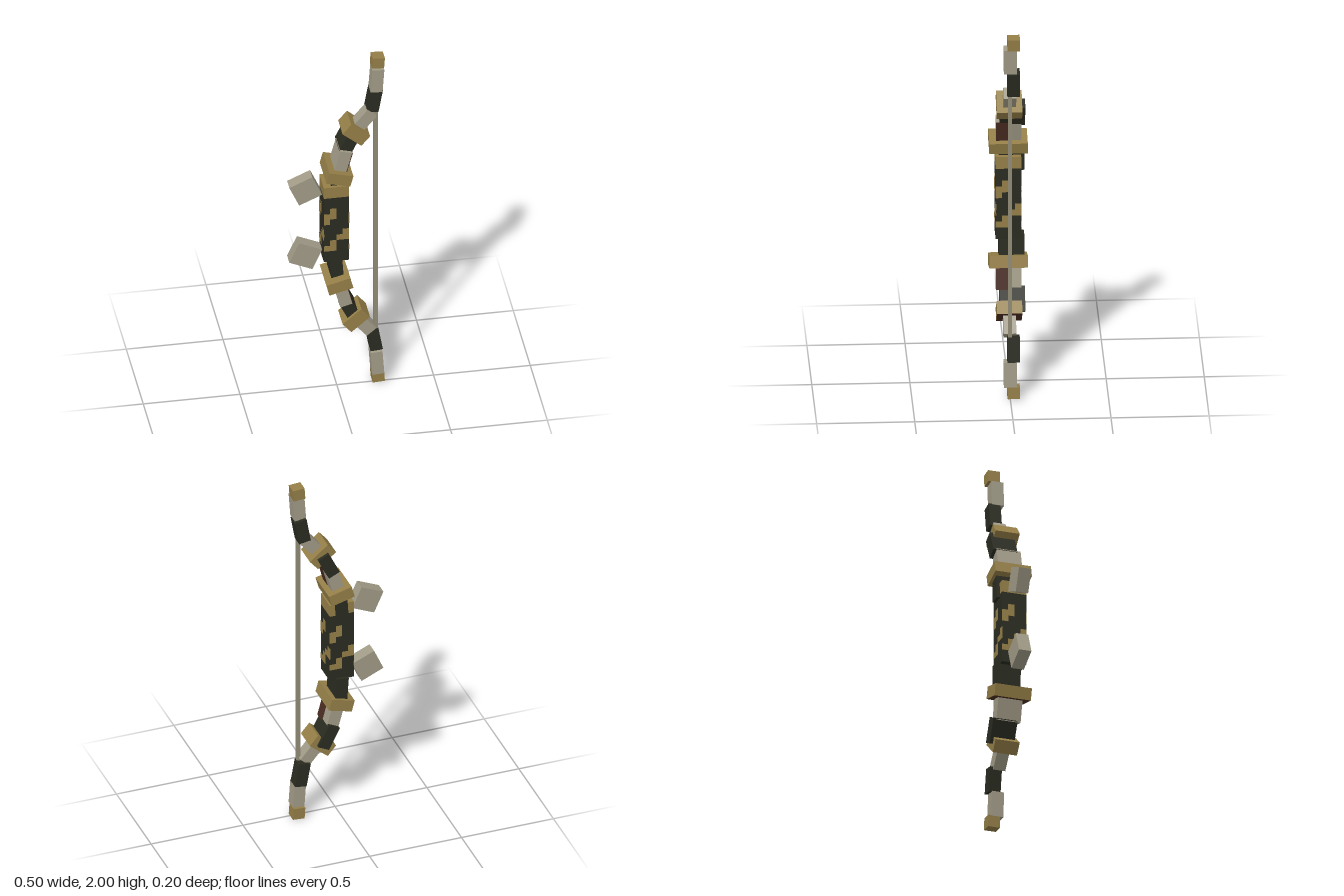
import * as THREE from 'three';

const mat = (name, color) => {
  const m = new THREE.MeshStandardMaterial({ color });
  m.name = name;
  return m;
};

export function createModel() {
  const gold = mat('gold', 0x957f48);
  const dark = mat('darkWood', 0x2a2b20);
  const grey = mat('greyBone', 0xa19b87);
  const brown = mat('darkBrown', 0x4a2c22);
  const cord = mat('cord', 0x938d77);

  const bow = new THREE.Group();
  bow.name = 'bow';

  const box = (parent, name, material, size, pos, tilt = 0) => {
    const mesh = new THREE.Mesh(new THREE.BoxGeometry(...size), material);
    mesh.name = name;
    mesh.position.set(...pos);
    mesh.rotation.z = THREE.MathUtils.degToRad(tilt);
    parent.add(mesh);
    return mesh;
  };

  // Limb parts from grip to tip: name, material, size, position, tilt in degrees
  const limbParts = [
    ['limbRoot', dark, [0.064, 0.14, 0.13], [-0.008, 1.25, -0.017], -4],
    ['innerCollar', gold, [0.128, 0.064, 0.196], [-0.001, 1.33, 0], -15],
    ['lowerLimb', grey, [0.065, 0.13, 0.13], [0.022, 1.41, -0.001], -15],
    ['middleLimb', dark, [0.065, 0.133, 0.13], [0.063, 1.519, -0.018], -26],
    ['outerCollar', gold, [0.127, 0.07, 0.13], [0.09, 1.572, -0.001], -40],
    ['bentLimb', grey, [0.065, 0.1, 0.065], [0.143, 1.635, -0.001], -40],
    ['upperLimb', dark, [0.064, 0.133, 0.064], [0.193, 1.738, -0.018], -10],
    ['endLimb', grey, [0.062, 0.135, 0.065], [0.205, 1.87, -0.001], -4],
    ['tip', gold, [0.063, 0.063, 0.063], [0.213, 1.966, -0.018], -4],
  ];
  for (const side of [1, -1]) {
    const limb = new THREE.Group();
    limb.name = side > 0 ? 'topLimb' : 'bottomLimb';
    for (const [name, material, size, [x, y, z], tilt] of limbParts) {
      const part = box(limb, name, material, size, [x, side > 0 ? y : 2 - y, z], tilt * side);
      // Brown half of the string-side face
      if (name === 'lowerLimb') {
        box(part, 'brownPatch', brown, [0.004, size[1], size[2] / 2], [size[0] / 2, 0, size[2] / 4]);
      }
      // Brown underside on the bottom collars (box group 3 is the -y face)
      if (side < 0 && name.endsWith('Collar')) {
        part.material = [gold, gold, gold, brown, gold, gold];
      }
    }
    bow.add(limb);

    // Square spikes on the outer side of the grip
    box(bow, side > 0 ? 'topSpike' : 'bottomSpike', grey,
      [0.13, 0.125, 0.067], [-0.166, 1.035 + side * 0.2, -0.001], 24 * side);
  }

  // Grip with gold cap
  const grip = new THREE.Group();
  grip.name = 'grip';
  grip.position.set(-0.013, 0, 0);
  box(grip, 'gripCore', dark, [0.13, 0.39, 0.13], [0, 1.005, 0]);
  box(grip, 'gripCap', gold, [0.13, 0.065, 0.13], [0, 1.2325, 0]);

  // Gold stepped patches on all four sides: column, row, width in cells
  const cell = 0.0325;
  const patches = [[1, 4, 1], [0, 5, 2], [0, 6, 1], [3, 8, 1], [2, 9, 2], [1, 10, 1], [0, 11, 2]];
  for (let i = 0; i < 4; i++) {
    const face = new THREE.Group();
    face.name = 'gripPatches';
    face.rotation.y = i * Math.PI / 2;
    for (const [col, row, width] of patches) {
      box(face, 'goldPatch', gold, [width * cell, cell, 0.004],
        [-0.065 + (col + width / 2) * cell, 1.265 - (row + 0.5) * cell, 0.0645]);
    }
    grip.add(face);
  }
  bow.add(grip);

  // Bowstring
  box(bow, 'bowstring', cord, [0.022, 1.4, 0.02], [0.201, 1.003, 0]);

  return bow;
}
